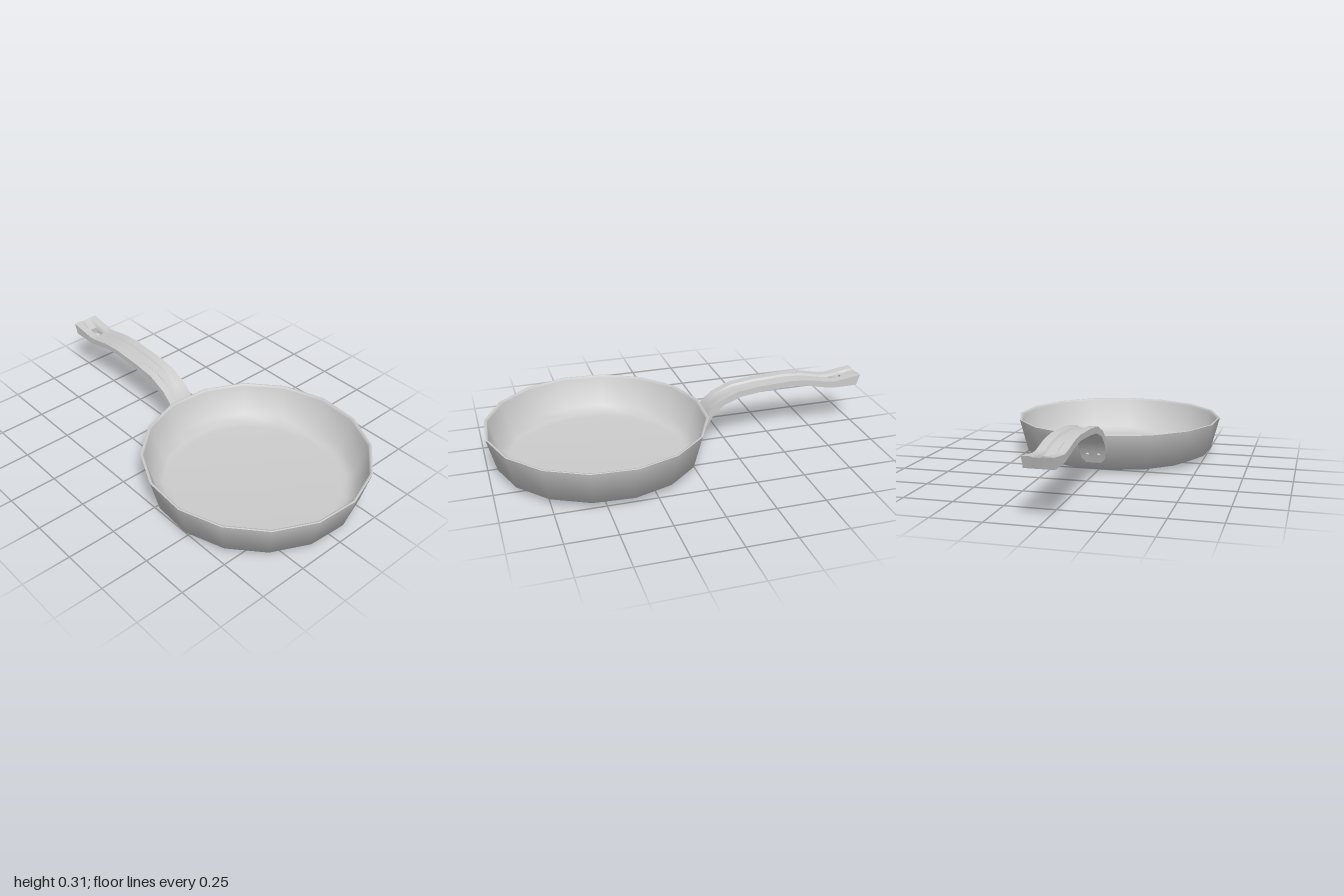
import * as THREE from 'three';
import { toCreasedNormals } from 'three/addons/utils/BufferGeometryUtils.js';

const material = new THREE.MeshStandardMaterial({ color: 0xcccccc });

function addMesh(parent, name, geometry) {
  const mesh = new THREE.Mesh(geometry, material);
  mesh.name = name;
  parent.add(mesh);
  return mesh;
}

// Sixteen-sided bowl: underside, outer wall, rim, inner wall, floor
function panGeometry() {
  const profile = [
    [0, 0], [0.44, 0.002], [0.47, 0.006], [0.524, 0.032], [0.568, 0.2], [0.57, 0.208],
    [0.566, 0.21], [0.558, 0.208], [0.553, 0.198], [0.511, 0.042], [0.465, 0.018], [0.43, 0.015], [0, 0.015],
  ].map(([r, y]) => new THREE.Vector2(r, y));
  const lathe = new THREE.LatheGeometry(profile, 16, THREE.MathUtils.degToRad(7.5));
  return toCreasedNormals(lathe, 1.0);
}

// Handle stations from tip to pan: top x, top y, bottom x, bottom y, groove depth, half width
const STATIONS = [
  [-1.0, 0.302, -0.98, 0.245, 0.004, 0.071],
  [-0.955, 0.295, -0.95, 0.245, 0.01, 0.071],
  [-0.92, 0.29, -0.92, 0.245, 0.014, 0.071],
  [-0.85, 0.281, -0.85, 0.245, 0.012, 0.071],
  [-0.81, 0.284, -0.81, 0.25, 0.01, 0.071],
  [-0.7, 0.307, -0.69, 0.277, 0.01, 0.071],
  [-0.6, 0.315, -0.6, 0.286, 0.01, 0.071],
  [-0.42, 0.307, -0.43, 0.276, 0.01, 0.071],
  [-0.3, 0.293, -0.32, 0.262, 0.009, 0.071],
  [-0.2, 0.25, -0.225, 0.226, 0.003, 0.071],
  [-0.143, 0.2, -0.17, 0.18, 0, 0.071],
  [-0.118, 0.13, -0.138, 0.127, 0, 0.071],
  [-0.104, 0.085, -0.121, 0.085, 0, 0.062],
  [-0.095, 0.06, -0.112, 0.062, 0, 0.04],
];
const COLUMNS = [-1, -0.42, -0.3, 0.3, 0.42, 1]; // across the width
const HOLE_STATION = 2;
const HOLE_COLUMN = 2;

function handleGeometry() {
  const positions = [];
  const quad = (a, b, c, d) => positions.push(...a, ...b, ...c, ...a, ...c, ...d);
  const top = (i, j) => {
    const [x, y, , , groove, half] = STATIONS[i];
    const inGroove = j === 2 || j === 3;
    return [x, y - (inGroove ? groove : 0), COLUMNS[j] * half];
  };
  const bottom = (i, j) => [STATIONS[i][2], STATIONS[i][3], COLUMNS[j] * STATIONS[i][5]];
  // Walls between top and bottom, along the length or across it
  const wallFront = (i, j) => quad(bottom(i, j), bottom(i + 1, j), top(i + 1, j), top(i, j));
  const wallBack = (i, j) => quad(top(i, j), top(i + 1, j), bottom(i + 1, j), bottom(i, j));
  const wallTip = (i, j) => quad(bottom(i, j), bottom(i, j + 1), top(i, j + 1), top(i, j));
  const wallPan = (i, j) => quad(top(i, j), top(i, j + 1), bottom(i, j + 1), bottom(i, j));

  const rows = STATIONS.length - 1;
  const cols = COLUMNS.length - 1;
  for (let i = 0; i < rows; i++) {
    for (let j = 0; j < cols; j++) {
      if (i === HOLE_STATION && j === HOLE_COLUMN) continue;
      quad(top(i, j), top(i, j + 1), top(i + 1, j + 1), top(i + 1, j));
      quad(bottom(i + 1, j), bottom(i + 1, j + 1), bottom(i, j + 1), bottom(i, j));
    }
    wallFront(i, cols);
    wallBack(i, 0);
  }
  for (let j = 0; j < cols; j++) {
    wallTip(0, j);
    wallPan(rows, j);
  }
  // Inside of the hanging hole
  wallFront(HOLE_STATION, HOLE_COLUMN);
  wallBack(HOLE_STATION, HOLE_COLUMN + 1);
  wallPan(HOLE_STATION, HOLE_COLUMN);
  wallTip(HOLE_STATION + 1, HOLE_COLUMN);

  const geometry = new THREE.BufferGeometry();
  geometry.setAttribute('position', new THREE.Float32BufferAttribute(positions, 3));
  return toCreasedNormals(geometry, 0.6);
}

export function createModel() {
  const model = new THREE.Group();
  model.name = 'fryingPan';

  const pan = addMesh(model, 'pan', panGeometry());
  pan.position.x = 0.435;

  addMesh(model, 'handle', handleGeometry());

  // Rivets fixing the handle plate to the wall
  const outward = new THREE.Vector3(-0.93, -0.36, 0).normalize();
  for (const side of [-1, 1]) {
    const rivet = addMesh(model, 'rivet', new THREE.CylinderGeometry(0.007, 0.012, 0.012, 8));
    rivet.quaternion.setFromUnitVectors(new THREE.Vector3(0, 1, 0), outward);
    rivet.position.set(-0.131, 0.108, side * 0.03);
  }
  return model;
}
